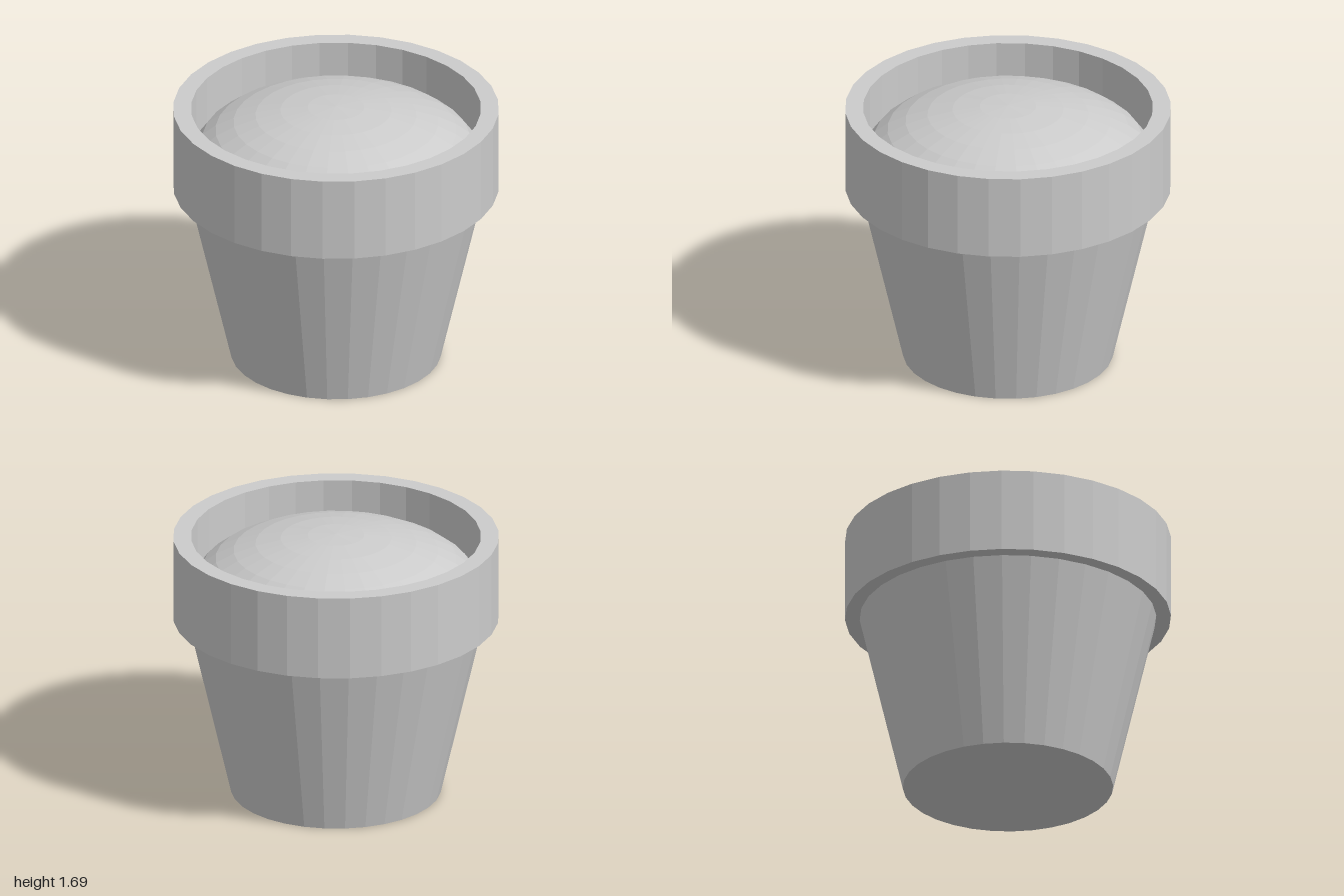
import * as THREE from 'three';

const SIDES = 32;

export function createModel() {
  const model = new THREE.Group();
  const material = new THREE.MeshStandardMaterial({ color: 0xcccccc, flatShading: true });

  const add = (name, geometry) => {
    const mesh = new THREE.Mesh(geometry, material);
    mesh.name = name;
    model.add(mesh);
    return mesh;
  };
  const lathe = (profile) =>
    new THREE.LatheGeometry(profile.map(([r, y]) => new THREE.Vector2(r, y)), SIDES);

  // Tapered body with a closed base
  add('potBody', lathe([[0, 0], [0.645, 0], [0.91, 1.145]]));

  // Thick collar: underside, outer wall, top lip, inner wall
  add('potRim', lathe([[0.89, 1.145], [1, 1.145], [1, 1.675], [0.89, 1.675], [0.89, 1.145]]));

  // Mounded soil: the upper half of a flattened sphere
  const soil = add('soil', new THREE.SphereGeometry(0.89, SIDES, 8, 0, Math.PI * 2, 0, Math.PI / 2));
  soil.scale.y = 0.37 / 0.89;
  soil.position.y = 1.32;

  return model;
}
